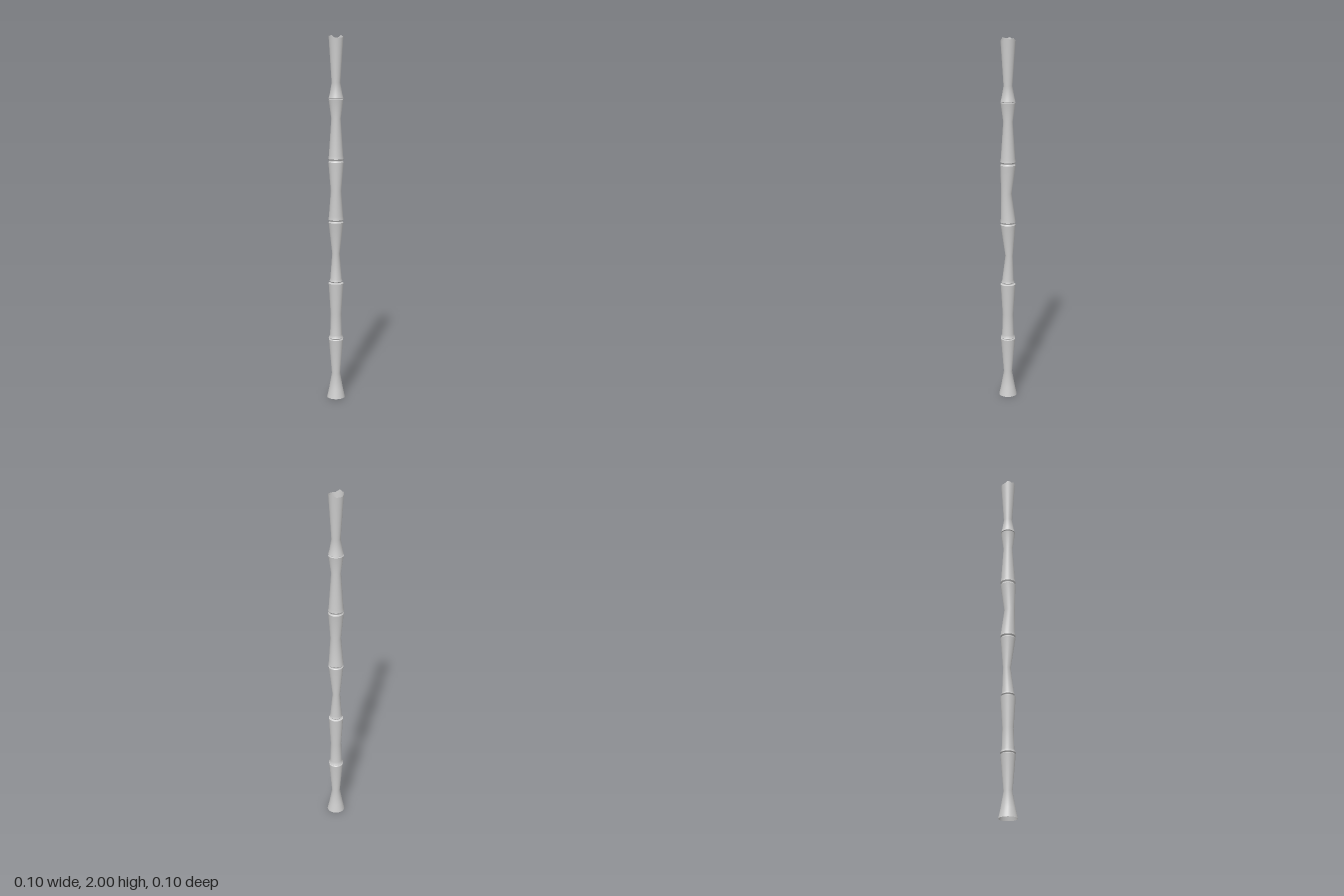
import * as THREE from 'three';

const SIDES = 24;
const material = new THREE.MeshStandardMaterial({ color: 0xcccccc, side: THREE.DoubleSide });

// Open tube through rings [y, radius, xShift, zShift]; rim(angle) raises the last ring.
function loft(name, rings, rim) {
  const pos = [], index = [];
  rings.forEach(([y, r, dx = 0, dz = 0], k) => {
    for (let i = 0; i < SIDES; i++) {
      const a = (i / SIDES) * Math.PI * 2;
      const lift = rim && k === rings.length - 1 ? rim(a) : 0;
      pos.push(dx + r * Math.cos(a), y + lift, dz + r * Math.sin(a));
      if (k === 0) continue;
      const j = (i + 1) % SIDES, lo = (k - 1) * SIDES, hi = k * SIDES;
      index.push(lo + i, hi + i, lo + j, lo + j, hi + i, hi + j);
    }
  });
  const geo = new THREE.BufferGeometry();
  geo.setAttribute('position', new THREE.Float32BufferAttribute(pos, 3));
  geo.setIndex(index);
  geo.computeVertexNormals();
  const mesh = new THREE.Mesh(geo, material);
  mesh.name = name;
  return mesh;
}

// Cane sections from the ground up, each pinched at a waist
const sections = [
  [[0, 0.05], [0.05, 0.039], [0.14, 0.0235], [0.335, 0.04]],
  [[0.345, 0.041], [0.362, 0.033], [0.48, 0.03], [0.655, 0.041]],
  [[0.667, 0.036], [0.68, 0.032], [0.82, 0.021, 0.002, -0.006], [0.995, 0.041]],
  [[1.01, 0.042], [1.03, 0.039], [1.17, 0.029, -0.003, 0.008], [1.325, 0.042]],
  [[1.342, 0.042], [1.36, 0.039], [1.56, 0.026], [1.66, 0.04]],
  [[1.667, 0.04], [1.69, 0.034], [1.75, 0.024], [1.985, 0.04]],
];

// Broken top edge: two peaks on each side, with a small dip between them
const brokenRim = (a) => {
  const c = Math.abs(Math.cos(a)), s = Math.abs(Math.sin(a));
  return 0.015 * THREE.MathUtils.smoothstep(c, 0.6, 0.84) - 0.008 * Math.max(0, 1 - s / 0.45);
};

export function createModel() {
  const group = new THREE.Group();
  group.name = 'bambooCane';
  sections.forEach((rings, n) => {
    const last = n === sections.length - 1;
    group.add(loft(`caneSection${n + 1}`, rings, last ? brokenRim : null));
    if (last) return;
    // Recessed joint between neighbouring sections
    const [y0, r0] = rings[rings.length - 1];
    const [y1, r1] = sections[n + 1][0];
    const mid = (y0 + y1) / 2, groove = Math.min(r0, r1) - 0.005;
    group.add(loft(`joint${n + 1}`, [[y0, r0], [mid - 0.002, groove], [mid + 0.002, groove], [y1, r1]]));
  });
  return group;
}
